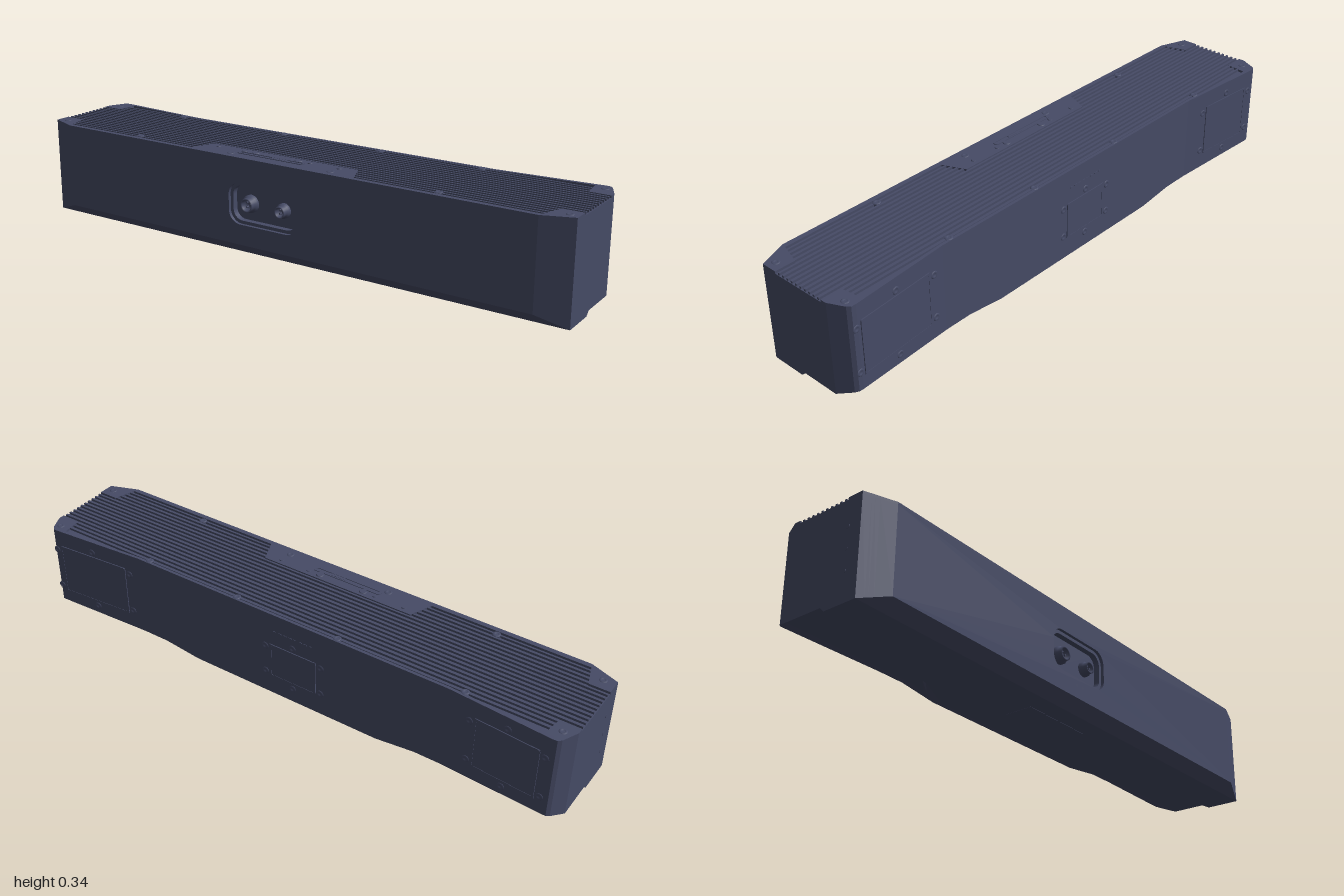
import * as THREE from 'three';

const H = 0.335, DECK = 0.327;
const mat = new THREE.MeshStandardMaterial({ color: 0x464b66, side: THREE.DoubleSide });

// linear interpolation in a list of [x, value] pairs
function lerpTable(t, x) {
  for (let i = 1; i < t.length; i++) {
    if (x <= t[i][0]) {
      const [x0, a] = t[i - 1], [x1, b] = t[i];
      return a + (b - a) * (x - x0) / (x1 - x0);
    }
  }
  return t[t.length - 1][1];
}
// plan outline and underside recess, mirrored in x
const frontZ = [[0, 0.187], [0.9, 0.187], [1, 0.15]];
const backZ = [[0, -0.16], [0.6, -0.16], [0.95, -0.187], [0.965, -0.186], [0.975, -0.176], [1, -0.122]];
const recessZ = [[0, -0.125], [0.36, -0.125], [0.5, -0.06], [1, 0.03]];

// cross-section in (z, y): top back, top front, then along the underside to the back
function section(x) {
  const a = Math.abs(x), f = lerpTable(frontZ, a), b = lerpTable(backZ, a), r = lerpTable(recessZ, a);
  const k = Math.min(1, Math.max(0, (a - 0.36) / 0.14)); // 0 in the middle, 1 over the end recesses
  const mix = (p, q) => p + (q - p) * k;
  return [
    [b, DECK], [f, DECK], [f, f - 0.15], [0.15, 0], [r, 0],
    [mix(-0.135, r - 0.015), mix(0.004, 0.015)],
    [mix(-0.145, -0.12), mix(0.008, 0.015)],
    [b, mix(0.013, 0.015 + (-0.12 - b) * 0.37)],
  ];
}

function bodyGeometry() {
  const half = [0.36, 0.43, 0.5, 0.6, 0.75, 0.9, 0.95, 0.965, 0.975, 1];
  const xs = [...half.map((x) => -x).reverse(), ...half];
  const secs = xs.map((x) => section(x).map(([z, y]) => [x, y, z]));
  const pos = [];
  const tri = (...p) => p.forEach((v) => pos.push(...v));
  for (let i = 0; i + 1 < xs.length; i++) {
    for (let j = 0; j < 8; j++) {
      if (j === 1 && xs[i] >= -0.9 && xs[i + 1] <= 0.9) continue; // left open for the front panel
      const n = (j + 1) % 8, a = secs[i][j], b = secs[i][n], c = secs[i + 1][n], d = secs[i + 1][j];
      tri(a, b, c);
      tri(a, c, d);
    }
  }
  const end = secs[secs.length - 1].filter((p, i) => i !== 3);
  const faces = THREE.ShapeUtils.triangulateShape(end.map((p) => new THREE.Vector2(-p[2], p[1])), []);
  for (const [a, b, c] of faces) {
    tri(end[a], end[b], end[c]);
    tri(...[end[c], end[b], end[a]].map(([x, y, z]) => [-x, y, z]));
  }
  const g = new THREE.BufferGeometry();
  g.setAttribute('position', new THREE.Float32BufferAttribute(pos, 3));
  g.computeVertexNormals();
  return g;
}

function roundRect(S, cx, cy, w, h, r) {
  const s = new S(), x = w / 2 - r, y = h / 2 - r;
  s.absarc(cx + x, cy + y, r, 0, Math.PI / 2);
  s.absarc(cx - x, cy + y, r, Math.PI / 2, Math.PI);
  s.absarc(cx - x, cy - y, r, Math.PI, Math.PI * 1.5);
  s.absarc(cx + x, cy - y, r, Math.PI * 1.5, Math.PI * 2);
  s.closePath();
  return s;
}

export function createModel() {
  const root = new THREE.Group();
  const add = (name, geo, x = 0, y = 0, z = 0, parent = root) => {
    const m = new THREE.Mesh(geo, mat);
    m.name = name;
    m.position.set(x, y, z);
    parent.add(m);
    return m;
  };
  const extrude = (s, depth) => new THREE.ExtrudeGeometry(s, { depth, bevelEnabled: false, curveSegments: 8 });
  const box = (w, h, d) => new THREE.BoxGeometry(w, h, d);
  // socket screw: a ring with a sunken centre, facing +z
  const screwGeo = new THREE.LatheGeometry([[0, 0], [0.005, 0], [0.006, 0.002], [0.011, 0.002], [0.013, 0]]
    .map(([x, y]) => new THREE.Vector2(x, y)), 12).rotateX(Math.PI / 2);

  add('body', bodyGeometry());

  // front panel with the connector recess
  const front = new THREE.Shape([[-0.9, 0.037], [0.9, 0.037], [0.9, DECK], [-0.9, DECK]].map((p) => new THREE.Vector2(...p)));
  const cx = -0.053, cy = 0.178;
  front.holes.push(roundRect(THREE.Path, cx, cy, 0.272, 0.142, 0.045));
  add('frontPanel', new THREE.ShapeGeometry(front, 8), 0, 0, 0.187);
  const wall = roundRect(THREE.Shape, cx, cy, 0.29, 0.16, 0.05);
  wall.holes.push(roundRect(THREE.Path, cx, cy, 0.272, 0.142, 0.045));
  add('recessWall', extrude(wall, 0.034), 0, 0, 0.152);
  const lip = roundRect(THREE.Shape, cx, cy, 0.274, 0.144, 0.045);
  lip.holes.push(roundRect(THREE.Path, cx, cy, 0.25, 0.12, 0.036));
  add('recessLip', extrude(lip, 0.02), 0, 0, 0.155);
  add('recessFloor', box(0.29, 0.16, 0.004), cx, cy, 0.15);
  for (const [x, r] of [[-0.12, 0.03], [0.012, 0.025]]) {
    const profile = [[r, 0], [r, 0.012], [r * 0.8, 0.014], [r * 0.8, 0.03], [r * 0.6, 0.03], [r * 0.6, 0.012], [0, 0.012]];
    add('connector', new THREE.LatheGeometry(profile.map((p) => new THREE.Vector2(...p)), 24).rotateX(Math.PI / 2), x, 0.175, 0.152);
    for (let i = 0; i < 3; i++) {
      const t = i * Math.PI * 2 / 3;
      add('connectorPin', new THREE.CylinderGeometry(0.003, 0.003, 0.012, 8).rotateX(Math.PI / 2),
        x + Math.cos(t) * r * 0.3, 0.175 + Math.sin(t) * r * 0.3, 0.168);
    }
  }
  for (const x of [-0.07, -0.04]) add('indicator', new THREE.CircleGeometry(0.004, 10), x, 0.08, 0.188);

  // top edge trim, corner pads and control panel
  const plate = (name, pts) => add(name, extrude(new THREE.Shape(pts.map(([x, z]) => new THREE.Vector2(x, -z))), H - DECK)
    .rotateX(-Math.PI / 2), 0, DECK, 0);
  plate('frontTrim', [[-0.945, 0.17], [-0.9, 0.187], [0.9, 0.187], [0.945, 0.17]]);
  plate('backTrim', [[-0.95, -0.187], [-0.6, -0.16], [0.6, -0.16], [0.95, -0.187], [0.95, -0.174], [0.6, -0.15], [-0.6, -0.15], [-0.95, -0.174]]);
  for (const s of [-1, 1]) {
    plate('frontCornerPad', [[s, 0.095], [s, 0.15], [s * 0.9, 0.187], [s * 0.93, 0.095]]);
    plate('backCornerPad', [[s, -0.1], [s, -0.122], [s * 0.975, -0.176], [s * 0.965, -0.186], [s * 0.95, -0.187], [s * 0.92, -0.18], [s * 0.93, -0.1]]);
  }
  plate('controlPanel', [[-0.36, 0.187], [-0.32, 0.09], [0.25, 0.09], [0.29, 0.187]]);

  // lengthwise ridges across the top
  for (let i = 0; i < 17; i++) {
    const z = 0.157 - i * 0.0188;
    const len = z > 0.1 || z < -0.1 ? 1.88 : 1.996;
    add('topRidge', box(len, 0.0085, 0.007), 0, DECK + 0.0035, z);
  }

  // top screws, buttons and slot
  const topScrews = [[-0.96, -0.14], [-0.65, -0.145], [-0.2, -0.145], [0.19, -0.145], [0.56, -0.145], [0.96, -0.155],
    [-0.96, 0.135], [-0.595, 0.155], [-0.2, 0.155], [0.19, 0.155], [0.57, 0.155], [0.97, 0.13]];
  for (const [x, z] of topScrews) {
    add('topScrewSeat', new THREE.CylinderGeometry(0.014, 0.014, 0.008, 12), x, DECK + 0.004, z);
    add('topScrew', screwGeo, x, H, z).rotation.x = -Math.PI / 2;
  }
  for (const [x, r] of [[-0.285, 0.009], [-0.175, 0.009], [-0.13, 0.014], [0.04, 0.014], [0.085, 0.009], [0.195, 0.009]]) {
    add('button', new THREE.CylinderGeometry(r * 0.85, r, 0.003, 16), x, H + 0.001, 0.112);
  }
  const slot = roundRect(THREE.Shape, -0.055, -0.134, 0.26, 0.022, 0.006);
  slot.holes.push(roundRect(THREE.Path, -0.055, -0.134, 0.245, 0.012, 0.004));
  add('slotFrame', extrude(slot, 0.002).rotateX(-Math.PI / 2), 0, H, 0);
  add('slotSlider', box(0.06, 0.002, 0.01), -0.02, H + 0.001, 0.134);

  // rear service covers with screws around them
  function cover(x, y, w, h, z, turn) {
    const g = new THREE.Group();
    g.name = 'rearCover';
    g.position.set(x, y, z);
    g.rotation.y = Math.PI + turn;
    add('coverPlate', box(w, h, 0.004), 0, 0, 0, g);
    const frame = roundRect(THREE.Shape, 0, 0, w, h, 0.008);
    frame.holes.push(roundRect(THREE.Path, 0, 0, w - 0.012, h - 0.012, 0.005));
    add('coverFrame', extrude(frame, 0.001), 0, 0, 0.002, g);
    for (const sx of [-1, 0, 1]) for (const sy of sx ? [-0.8, 0.8] : [-1, 1]) {
      const k = sx ? 0.018 : 0;
      add('coverScrew', screwGeo, sx * (w / 2 + k), sy * (h / 2 + (sx ? 0 : 0.018)), 0.0015, g);
    }
    root.add(g);
  }
  const slope = Math.atan(0.027 / 0.35);
  cover(0.8, 0.18, 0.28, 0.19, -0.1755, slope);
  cover(-0.81, 0.18, 0.22, 0.19, -0.176, -slope);
  cover(-0.04, 0.15, 0.18, 0.13, -0.16, 0);
  for (let i = 0; i < 8; i++) add('rearVent', box(0.012, 0.004, 0.003), -0.11 + i * 0.02, 0.27, -0.16);

  // small ports on the right end and a label plate underneath
  for (const y of [0.1, 0.17, 0.24]) add('endPort', new THREE.CylinderGeometry(0.007, 0.007, 0.002, 12).rotateZ(Math.PI / 2), -1, y, 0.1);
  add('bottomPlate', box(0.28, 0.002, 0.1), -0.03, 0.0002, 0.03);

  return root;
}
